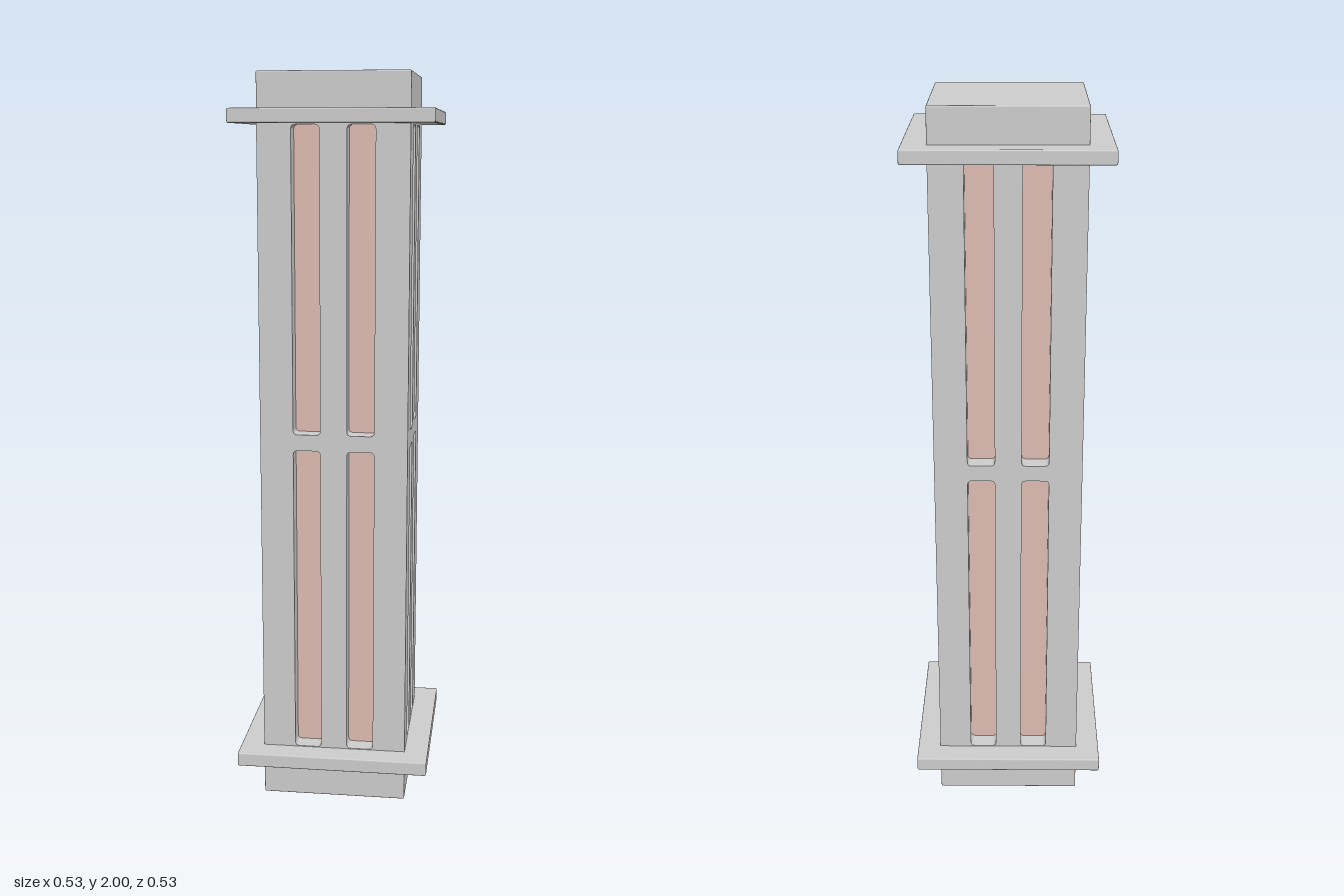
import * as THREE from 'three';
import { RoundedBoxGeometry } from 'three/addons/geometries/RoundedBoxGeometry.js';

const HALF = 0.2;      // half width of the pillar
const DEPTH = 0.05;    // depth of the slots
const PLATE_LOW = 0.125, PLATE_HIGH = 1.887;

// rectangle with slightly rounded corners, as a hole outline
function slot(x0, x1, y0, y1, r = 0.012) {
  const p = new THREE.Path();
  p.moveTo(x0 + r, y0);
  p.lineTo(x1 - r, y0).quadraticCurveTo(x1, y0, x1, y0 + r);
  p.lineTo(x1, y1 - r).quadraticCurveTo(x1, y1, x1 - r, y1);
  p.lineTo(x0 + r, y1).quadraticCurveTo(x0, y1, x0, y1 - r);
  p.lineTo(x0, y0 + r).quadraticCurveTo(x0, y0, x0 + r, y0);
  return p;
}

// frame panel with two columns of two slots
function framePanel(halfWidth) {
  const s = new THREE.Shape();
  s.moveTo(-halfWidth, PLATE_LOW);
  s.lineTo(halfWidth, PLATE_LOW);
  s.lineTo(halfWidth, PLATE_HIGH);
  s.lineTo(-halfWidth, PLATE_HIGH);
  s.closePath();
  for (const [x0, x1] of [[-0.11, -0.036], [0.036, 0.11]])
    for (const [y0, y1] of [[0.147, 1.006], [1.05, 1.866]])
      s.holes.push(slot(x0, x1, y0, y1));
  return new THREE.ExtrudeGeometry(s, { depth: DEPTH, bevelEnabled: false, curveSegments: 4 });
}

export function createModel() {
  const group = new THREE.Group();
  const grey = new THREE.MeshStandardMaterial({ color: 0xcccccc });
  const glow = new THREE.MeshStandardMaterial({ color: 0xdcbab0 });

  const add = (name, geometry, material, y = 0) => {
    const mesh = new THREE.Mesh(geometry, material);
    mesh.name = name;
    mesh.position.y = y;
    group.add(mesh);
    return mesh;
  };
  const block = (name, width, y0, y1) =>
    add(name, new RoundedBoxGeometry(width, y1 - y0, width, 2, 0.004), grey, (y0 + y1) / 2);

  // end blocks and wide square plates
  block('baseBlock', 2 * HALF, 0, 0.125);
  block('basePlate', 0.53, 0.106, 0.145);
  block('topPlate', 0.53, 1.869, 1.906);
  block('capBlock', 2 * HALF, 1.887, 2);

  // coloured inner core seen through the slots
  const inner = HALF - DEPTH;
  add('lampCore', new THREE.BoxGeometry(2 * inner, PLATE_HIGH - PLATE_LOW, 2 * inner), glow,
    (PLATE_LOW + PLATE_HIGH) / 2);

  // slotted frame: front and back run full width, the sides fit between them
  ['front', 'left', 'back', 'right'].forEach((side, i) => {
    const geometry = framePanel(i % 2 ? inner : HALF).translate(0, 0, inner);
    add(side + 'Frame', geometry, grey).rotation.y = i * Math.PI / 2;
  });

  return group;
}
